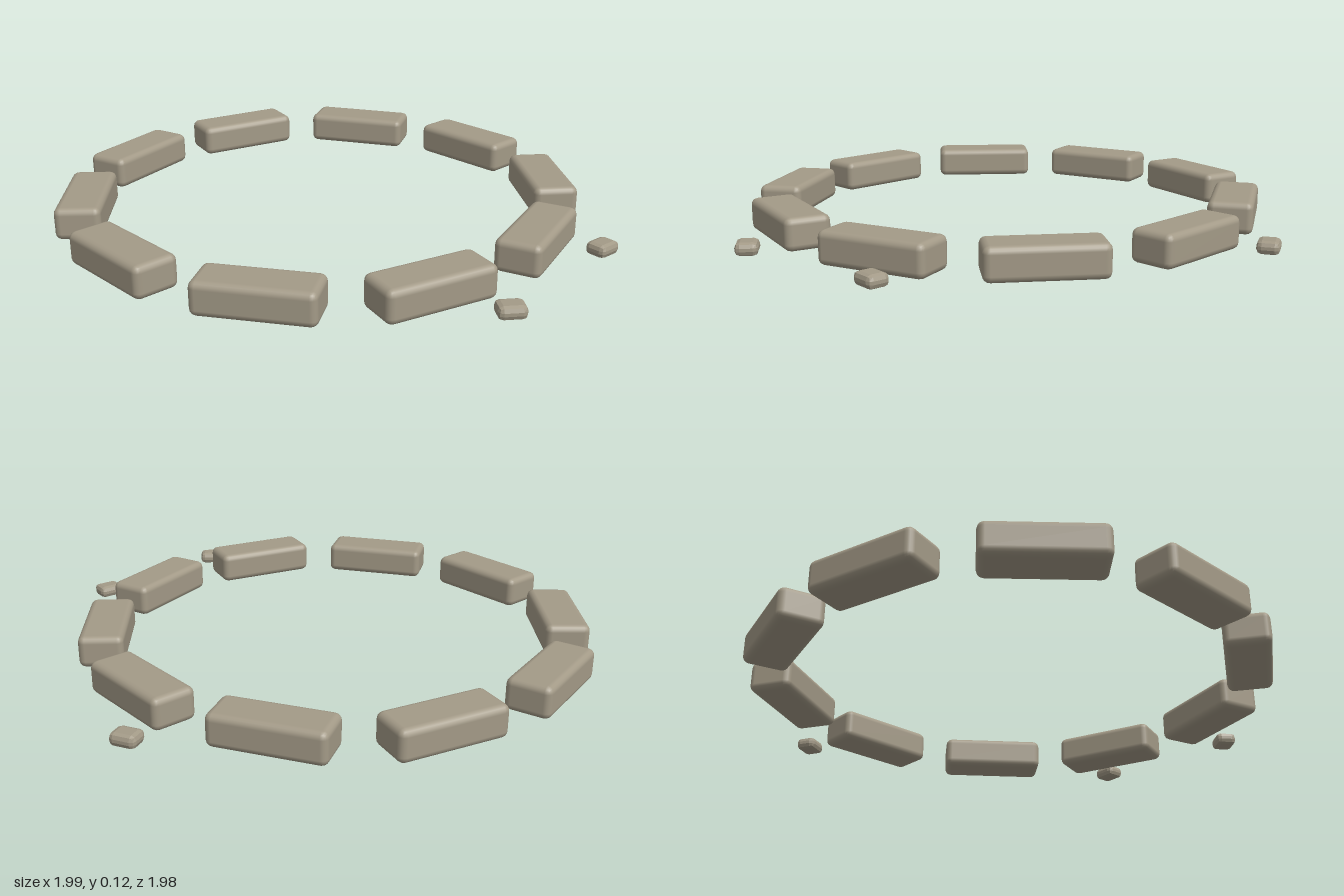
import * as THREE from 'three';
import { RoundedBoxGeometry } from 'three/addons/geometries/RoundedBoxGeometry.js';

export function createModel() {
  const model = new THREE.Group();
  model.name = 'stoneRing';
  const stone = new THREE.MeshStandardMaterial({ color: 0xa39a87 });
  stone.name = 'stone';

  const blockGeometry = new RoundedBoxGeometry(0.393, 0.115, 0.16, 2, 0.024);
  // Pebbles are faceted, with a single bevel
  const pebbleGeometry = new RoundedBoxGeometry(0.092, 0.045, 0.076, 1, 0.017).toNonIndexed();
  pebbleGeometry.computeVertexNormals();

  function place(geometry, name, x, y, z, degrees) {
    const mesh = new THREE.Mesh(geometry, stone);
    mesh.name = name;
    mesh.position.set(x, y, z);
    mesh.rotation.y = THREE.MathUtils.degToRad(degrees);
    model.add(mesh);
  }

  // Ten long blocks laid in a ring: x, z, turn
  const blocks = [
    [-0.34, -0.72, 13], [0.175, -0.72, -17], [0.595, -0.417, -55],
    [0.75, 0.07, -89], [0.595, 0.56, 58], [0.175, 0.86, 17],
    [-0.34, 0.86, -17], [-0.755, 0.56, -58], [-0.915, 0.07, 88],
    [-0.755, -0.417, 59],
  ];
  blocks.forEach(([x, z, turn], i) => place(blockGeometry, `ringStone${i + 1}`, x, 0.0575, z, turn));

  // Loose pebbles outside the ring
  const pebbles = [[0.037, -0.953, 10], [0.945, -0.027, 69], [0.84, 0.535, 36]];
  pebbles.forEach(([x, z, turn], i) => place(pebbleGeometry, `pebble${i + 1}`, x, 0.029, z, turn));

  return model;
}
